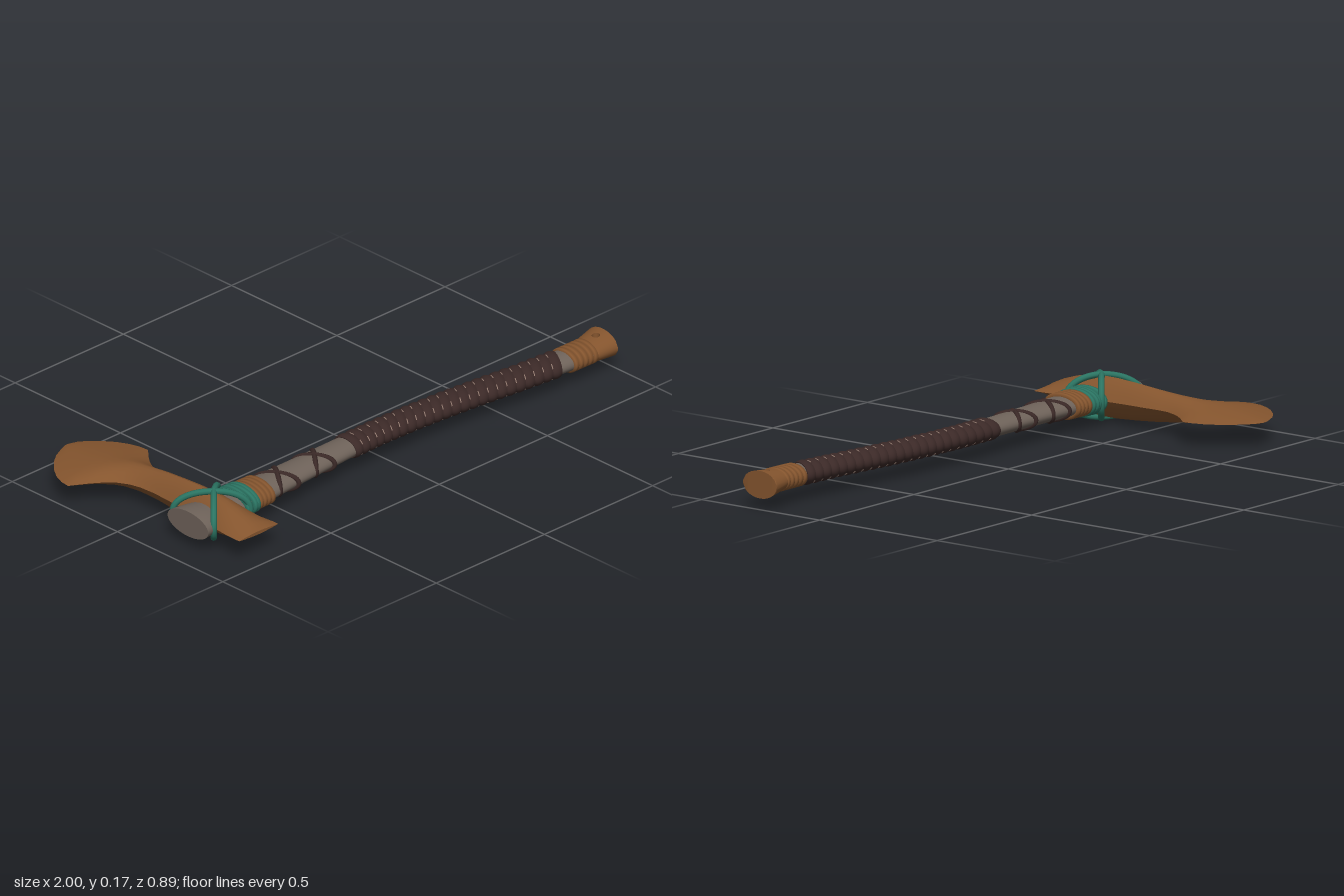
import * as THREE from 'three';
import { toCreasedNormals } from 'three/addons/utils/BufferGeometryUtils.js';

const CY = 0.086; // height of the central plane
const mat = (name, color) => Object.assign(new THREE.MeshStandardMaterial({ color }), { name });

// Handle centre line rows: x, centre z, half width in z, half height in y
const HANDLE = [
  [-0.905, 0.237, 0.097, 0.046], [-0.86, 0.236, 0.092, 0.045], [-0.8, 0.23, 0.072, 0.037],
  [-0.55, 0.225, 0.066, 0.034], [-0.35, 0.216, 0.058, 0.032], [-0.15, 0.207, 0.052, 0.031],
  [0, 0.204, 0.05, 0.031], [0.15, 0.208, 0.05, 0.031], [0.3, 0.218, 0.05, 0.031],
  [0.45, 0.232, 0.05, 0.031], [0.6, 0.25, 0.051, 0.031], [0.8, 0.267, 0.053, 0.033],
  [0.92, 0.268, 0.053, 0.034],
];

// Head rows along z: z, right edge x, left edge x, half thickness
const HEAD = [
  [0.445, -0.69, -0.87, 0.006], [0.42, -0.69, -0.871, 0.022], [0.39, -0.693, -0.87, 0.035],
  [0.34, -0.698, -0.866, 0.051], [0.29, -0.703, -0.857, 0.063], [0.24, -0.707, -0.85, 0.069],
  [0.16, -0.712, -0.842, 0.069], [0.08, -0.716, -0.836, 0.064], [0, -0.717, -0.832, 0.057],
  [-0.06, -0.719, -0.836, 0.051], [-0.1, -0.716, -0.846, 0.047], [-0.14, -0.702, -0.868, 0.043],
  [-0.17, -0.685, -0.898, 0.039], [-0.2, -0.662, -0.94, 0.035], [-0.235, -0.63, -1, 0.03],
  [-0.27, -0.633, -0.996, 0.026], [-0.31, -0.645, -0.98, 0.021], [-0.35, -0.666, -0.953, 0.016],
  [-0.39, -0.697, -0.915, 0.011], [-0.42, -0.728, -0.875, 0.007], [-0.44, -0.755, -0.832, 0.004],
  [-0.45, -0.785, -0.805, 0.001],
];

function rowAt(x) {
  let i = 0;
  while (i < HANDLE.length - 2 && x > HANDLE[i + 1][0]) i++;
  const a = HANDLE[i], b = HANDLE[i + 1], t = (x - a[0]) / (b[0] - a[0]);
  return a.map((v, k) => v + (b[k] - v) * t);
}

// Surface from a rule f(i, j) -> [x, y, z]
function grid(n, m, f, crease = 0.6) {
  const pos = [], idx = [];
  for (let i = 0; i <= n; i++) for (let j = 0; j <= m; j++) pos.push(...f(i, j));
  for (let i = 0; i < n; i++) for (let j = 0; j < m; j++) {
    const a = i * (m + 1) + j, b = a + m + 1;
    idx.push(a, b, a + 1, b, b + 1, a + 1);
  }
  const g = new THREE.BufferGeometry();
  g.setAttribute('position', new THREE.Float32BufferAttribute(pos, 3));
  g.setIndex(idx);
  g.scale(100, 100, 100); // keeps small details apart while creasing
  return toCreasedNormals(g, crease).scale(0.01, 0.01, 0.01);
}

// Capped oval loft along the handle; grow(x) thickens it, slant(x) tilts its rings
function handleLoft(x0, x1, n, grow = () => 0, slant = () => 0) {
  const m = 32;
  return grid(n + 2, m, (i, j) => {
    const x = x0 + (x1 - x0) * Math.min(Math.max((i - 1) / n, 0), 1);
    const a = (j / m) * Math.PI * 2, r = rowAt(x), g = grow(x);
    const k = i === 0 || i === n + 2 ? 0 : 1;
    return [x - k * slant(x) * Math.cos(a), CY + k * (r[3] + g) * Math.sin(a), r[1] + k * (r[2] + g) * Math.cos(a)];
  });
}

// Cord around the handle, tilted along x, over part or all of the turn
function cord(x, lift, radius, tilt = 0, a0 = 0, a1 = Math.PI * 2, steps = 24) {
  const r = rowAt(x), pts = [], closed = a1 - a0 > 6;
  for (let i = 0; i < steps + (closed ? 0 : 1); i++) {
    const a = a0 + ((a1 - a0) * i) / steps;
    pts.push(new THREE.Vector3(x + tilt * Math.cos(a), CY + (r[3] + lift) * Math.sin(a), r[1] + (r[2] + lift) * Math.cos(a)));
  }
  return new THREE.TubeGeometry(new THREE.CatmullRomCurve3(pts, closed), closed ? 48 : 6, radius, 6, closed);
}

// Flared pommel with a hole through it
function pommelGeometry() {
  const corners = [[0.995, 0.185], [0.99, 0.333], [0.905, 0.327], [0.905, 0.209]];
  const side = 12, surf = 8, hx = 0.95, hz = 0.268, hr = 0.014;
  const n = surf * 2 + 2;
  return grid(n, side * 4, (i, j) => {
    const c = Math.floor(j / side) % 4, t = (j % side) / side;
    const p = corners[c], q = corners[(c + 1) % 4];
    const ox = p[0] + (q[0] - p[0]) * t, oz = p[1] + (q[1] - p[1]) * t;
    const d = Math.hypot(ox - hx, oz - hz);
    const ix = hx + ((ox - hx) / d) * hr, iz = hz + ((oz - hz) / d) * hr;
    const top = i > surf && i < n;
    const s = Math.sin(((i === n ? 0 : top ? n - 1 - i : i) / surf) * Math.PI / 2);
    const x = ix + (ox - ix) * s, z = iz + (oz - iz) * s;
    const f = Math.min(Math.max((x - 0.905) / 0.088, 0), 1);
    const z0 = 0.209 - 0.024 * f, z1 = 0.327 + 0.006 * f;
    const v = (z - (z0 + z1) / 2) / ((z1 - z0) / 2);
    const h = (0.037 + 0.01 * f) * Math.sqrt(Math.max(0, 1 - v * v));
    return [x, CY + (top ? h : -h), z];
  });
}

export function createModel() {
  const model = new THREE.Group();
  const bronze = mat('bronze brown', 0x85552e);
  const wood = mat('grey wood', 0x6f635a);
  const leather = mat('dark leather', 0x3b2927);
  const teal = mat('teal cord', 0x2b7563);
  const thread = mat('pale thread', 0x9c8276);
  const add = (name, geometry, material, parent = model) => {
    const mesh = new THREE.Mesh(geometry, material);
    mesh.name = name;
    parent.add(mesh);
    return mesh;
  };
  const group = (name) => {
    const g = new THREE.Group();
    g.name = name;
    model.add(g);
    return g;
  };

  // Axe head: lens-shaped sections from the blunt poll to the flared blade
  const last = HEAD.length - 1, half = 10;
  add('axeHead', grid(last + 2, half * 2, (i, j) => {
    const [z, xr, xl, h] = HEAD[Math.min(Math.max(i - 1, 0), last)];
    const k = i === 0 || i === last + 2 ? 0 : 1;
    const u = j <= half ? 1 - (2 * j) / half : (2 * (j - half)) / half - 1;
    const y = h * (1 - Math.abs(u) ** 1.7) * (j <= half ? 1 : -1);
    return [(xr + xl) / 2 + (k * u * (xr - xl)) / 2, CY + k * y, z];
  }), bronze);

  // Handle and its leather grip with slanted, overlapping turns
  add('handle', handleLoft(-0.905, 0.92, 60), wood);
  const turns = 24, gx0 = -0.15, gx1 = 0.772, pitch = (gx1 - gx0) / turns;
  const slant = (x) => 0.027 * Math.min(1, Math.max(0, (x - gx0) / 0.25));
  const ridge = (x) => {
    const t = (((x - gx0) / pitch) % 1 + 1) % 1;
    return 0.003 + 0.005 * Math.sin(Math.PI * t);
  };
  add('gripWrap', handleLoft(gx0, gx1, turns * 6, ridge, slant), leather);
  const stitches = group('gripStitches');
  for (let i = 1; i < turns; i++) {
    const x = gx0 + i * pitch;
    for (const a of [0.5, 1.5, 3.7, 5.4]) {
      add('stitch', cord(x, 0.004, 0.0018, -slant(x), a, a + 0.4, 4), thread, stitches);
    }
  }

  // Crossed leather straps on the bare wood
  const straps = group('crossStraps');
  for (const x of [-0.48, -0.3]) for (const s of [-1, 1]) {
    add('strap', cord(x, -0.003, 0.01, s * 0.043), leather, straps);
  }

  // Bronze collars near the head and near the pommel
  const collars = group('collars');
  for (let i = 0; i < 4; i++) add('upperCollarRing', cord(-0.625 + i * 0.019, 0.001, 0.011), bronze, collars);
  for (let i = 0; i < 5; i++) add('lowerCollarRing', cord(0.81 + i * 0.022, -0.004, 0.0125), bronze, collars);
  add('pommel', pommelGeometry(), bronze);

  // Teal lashing: rings on the neck and two diagonal loops over the head
  const lashing = group('lashing');
  for (const [x, tilt] of [[-0.695, 0.006], [-0.676, -0.005], [-0.658, 0.004], [-0.642, 0]]) {
    add('neckRing', cord(x, 0.004, 0.011, tilt), teal, lashing);
  }
  for (const s of [-1, 1]) {
    const pts = [];
    for (let i = 0; i < 24; i++) {
      const a = (i / 24) * Math.PI * 2, c = Math.cos(a);
      pts.push(new THREE.Vector3(-0.777 + 0.095 * c, CY + 0.072 * Math.sin(a), 0.228 + s * c * (c > 0 ? 0.075 : 0.097)));
    }
    add('diagonalLoop', new THREE.TubeGeometry(new THREE.CatmullRomCurve3(pts, true), 64, 0.011, 8, true), teal, lashing);
  }
  return model;
}
